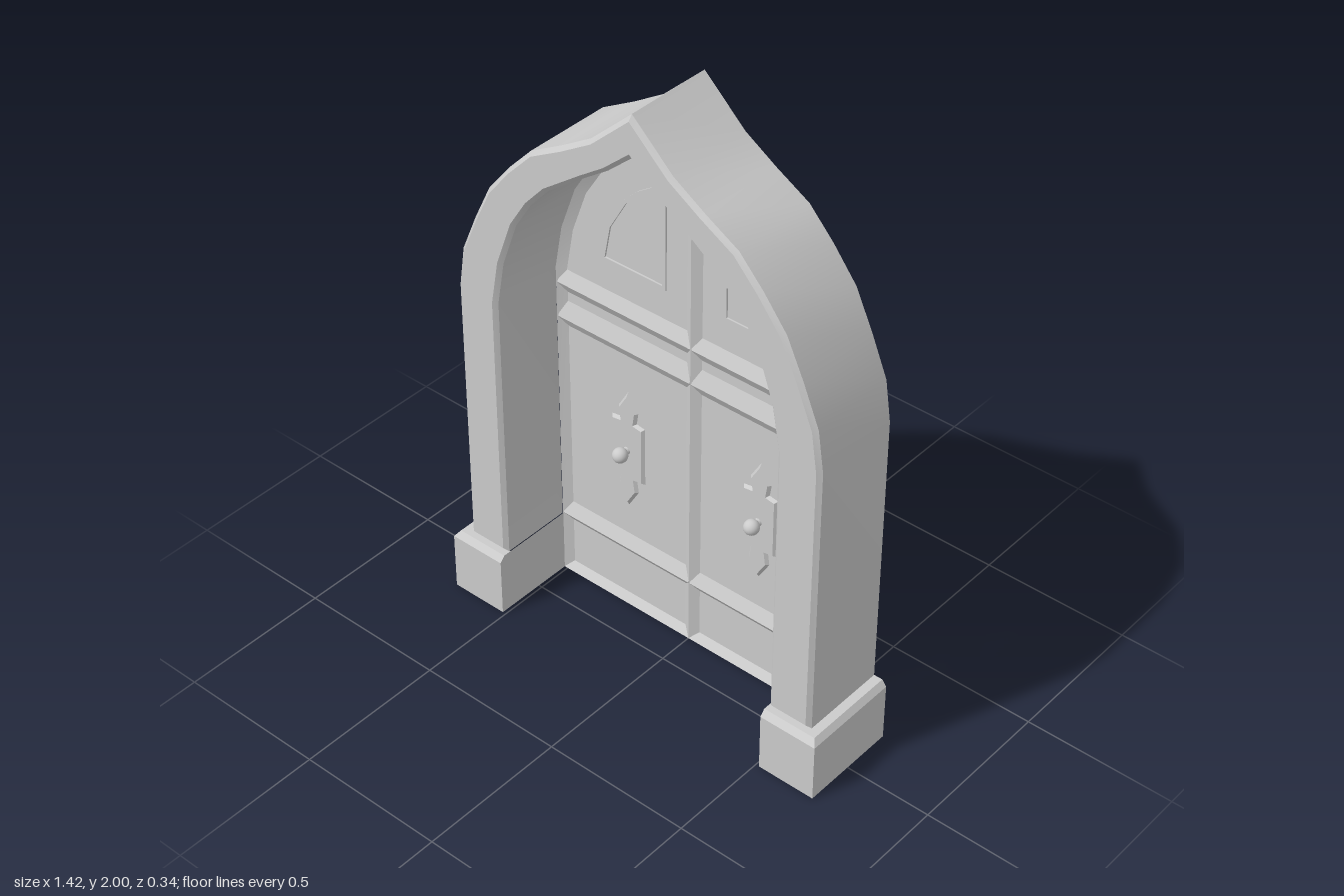
import * as THREE from 'three';
import { toCreasedNormals } from 'three/addons/utils/BufferGeometryUtils.js';

const MAT = new THREE.MeshStandardMaterial({ color: 0xcccccc, side: THREE.DoubleSide });
const BACK = -0.17;      // rear plane of the surround
const DOOR_Z = -0.145;   // middle plane of the door leaves
const FACE = 0.006;      // half thickness of the leaf panels
const RIM = 0.025;       // half thickness of rims and rails

// Right half of the arch curves, from the springing line to the tip
const OUTER = [[0.665, 1.155], [0.645, 1.29], [0.59, 1.42], [0.53, 1.545], [0.45, 1.645],
  [0.365, 1.735], [0.25, 1.8], [0.143, 1.867], [0, 2]];
const INNER = [[0.515, 1.155], [0.488, 1.305], [0.432, 1.46], [0.372, 1.555], [0.305, 1.63],
  [0.17, 1.73], [0.085, 1.79], [0, 1.865]];

const v2 = (pts) => pts.map(([x, y]) => new THREE.Vector2(x, y));
const at = (pts, z) => pts.map((p, i) => [p.x, p.y, typeof z === 'function' ? z(i) : z]);

function mesh(name, geometry) {
  const m = new THREE.Mesh(geometry, MAT);
  m.name = name;
  return m;
}

// Mitred inward offset of a counter-clockwise outline
function inset(pts, d) {
  const n = pts.length;
  const normal = (a, b) => new THREE.Vector2(a.y - b.y, b.x - a.x).normalize();
  return pts.map((p, i) => {
    const n1 = normal(pts[(i + n - 1) % n], p);
    const n2 = normal(p, pts[(i + 1) % n]);
    return p.clone().addScaledVector(n1.clone().add(n2), d / (1 + n1.dot(n2)));
  });
}

// Skin through successive cross-sections
function skin(sections, closed) {
  const pos = [];
  const n = sections[0].length;
  for (let s = 0; s < sections.length - 1; s++) {
    const a = sections[s], b = sections[s + 1];
    for (let i = 0; i < (closed ? n : n - 1); i++) {
      const j = (i + 1) % n;
      pos.push(...a[i], ...a[j], ...b[j], ...a[i], ...b[j], ...b[i]);
    }
  }
  const g = new THREE.BufferGeometry();
  g.setAttribute('position', new THREE.Float32BufferAttribute(pos, 3));
  return toCreasedNormals(g, 0.4);
}

function slab(shape, z0, z1) {
  const g = new THREE.ExtrudeGeometry(shape, { depth: z1 - z0, bevelEnabled: false });
  return g.translate(0, 0, z0);
}

// Pointed arch surround: chamfered face, outer wall and shallower inner reveal
function makeSurround() {
  const g = new THREE.Group();
  g.name = 'archSurround';
  const whole = (half, y0) => {
    const right = [[half[0][0], y0], ...half];
    return right.concat(right.slice(0, -1).reverse().map(([x, y]) => [-x, y]));
  };
  const outer = whole(OUTER, 0.22), inner = whole(INNER, 0.22).reverse();
  const outline = v2([...outer, ...inner]);
  const face = inset(outline, 0.013);
  const backZ = (i) => (i < outer.length ? BACK : DOOR_Z + RIM);
  g.add(mesh('archWalls', skin([at(outline, backZ), at(outline, 0.122)], true)));
  g.add(mesh('archChamfer', skin([at(outline, 0.122), at(face, 0.135)], true)));
  g.add(mesh('archFace', new THREE.ShapeGeometry(new THREE.Shape(face)).translate(0, 0, 0.135)));
  return g;
}

// Plinth block, hollow at the back and below, chamfered along its top
function makePlinth() {
  const plan = (xIn, xOut, zFront, y) => [[xOut, y, BACK], [xOut, y, zFront],
    [xIn, y, zFront], [xIn, y, DOOR_Z + RIM]];
  return mesh('plinth', skin([
    plan(0.512, 0.71, 0.165, 0),
    plan(0.512, 0.71, 0.165, 0.2),
    plan(0.512, 0.695, 0.148, 0.22),
    plan(0.512, 0.65, 0.12, 0.22),
  ].map((s) => s.reverse()), false));
}

// Horizontal ridge showing on both faces of a leaf
function makeRail(top, ridge, bottom) {
  const s = new THREE.Shape(v2([[-FACE, top], [-RIM, ridge], [-FACE, bottom],
    [FACE, bottom], [RIM, ridge], [FACE, top]]));
  return mesh('rail', slab(s, 0.003, 0.51).rotateY(Math.PI / 2).translate(0, 0, DOOR_Z));
}

function makeLeaf() {
  const g = new THREE.Group();
  g.name = 'doorLeaf';

  // Panel with a sloping rim all round
  const edge = v2([[0, 0], [INNER[0][0] - 0.002, 0], ...INNER]);
  const field = inset(edge, 0.028);
  g.add(mesh('panel', slab(new THREE.Shape(field), DOOR_Z - FACE, DOOR_Z + FACE)));
  g.add(mesh('rim', skin([
    at(field, DOOR_Z - FACE), at(edge, DOOR_Z - RIM),
    at(edge, DOOR_Z + RIM), at(field, DOOR_Z + FACE),
  ], true)));

  // Two rails at mid height and one near the foot
  for (const r of [[1.147, 1.103, 1.068], [1.035, 0.98, 0.945], [0.27, 0.225, 0.197]]) {
    g.add(makeRail(...r));
  }

  // Window-shaped trim
  const pane = v2([[0.105, 1.25], [0.35, 1.25], [0.325, 1.38], [0.262, 1.49], [0.21, 1.54], [0.105, 1.612]]);
  const trim = new THREE.Shape(pane);
  trim.holes.push(new THREE.Path(inset(pane, 0.013).reverse()));
  g.add(mesh('windowTrim', slab(trim, DOOR_Z - 0.012, DOOR_Z + 0.012)));

  // Ornamental handle plate, mirrored about its centre
  const quarter = [[0, 0.215], [0.038, 0.15], [0.032, 0.11], [0.064, 0.105]];
  const right = [...quarter, ...quarter.map(([x, y]) => [x, -y]).reverse()];
  const left = right.slice(1, -1).reverse().map(([x, y]) => [-x, y]);
  const plateOutline = v2([...right, ...left]).reverse();
  const inner = inset(plateOutline, 0.008);
  const plate = new THREE.Group();
  plate.name = 'handlePlate';
  plate.add(mesh('plateEdge', skin([at(plateOutline, 0), at(inner, 0.01)], true)));
  plate.add(mesh('plateFace', new THREE.ShapeGeometry(new THREE.Shape(inner)).translate(0, 0, 0.01)));
  plate.position.set(0.253, 0.6, DOOR_Z + FACE);

  // Round knob on a short stem
  const knob = mesh('knob', new THREE.SphereGeometry(0.025, 20, 14));
  knob.position.z = 0.04;
  const stem = mesh('knobStem', new THREE.CylinderGeometry(0.01, 0.014, 0.036, 12).rotateX(Math.PI / 2));
  stem.position.z = 0.018;
  plate.add(knob, stem);
  g.add(plate);
  return g;
}

export function createModel() {
  const model = new THREE.Group();
  model.name = 'archedDoorway';
  model.add(makeSurround());
  for (const [side, s] of [['left', 1], ['right', -1]]) {
    const half = new THREE.Group();
    half.name = side + 'Half';
    half.add(makePlinth(), makeLeaf());
    half.scale.x = s;
    model.add(half);
  }
  return model;
}
